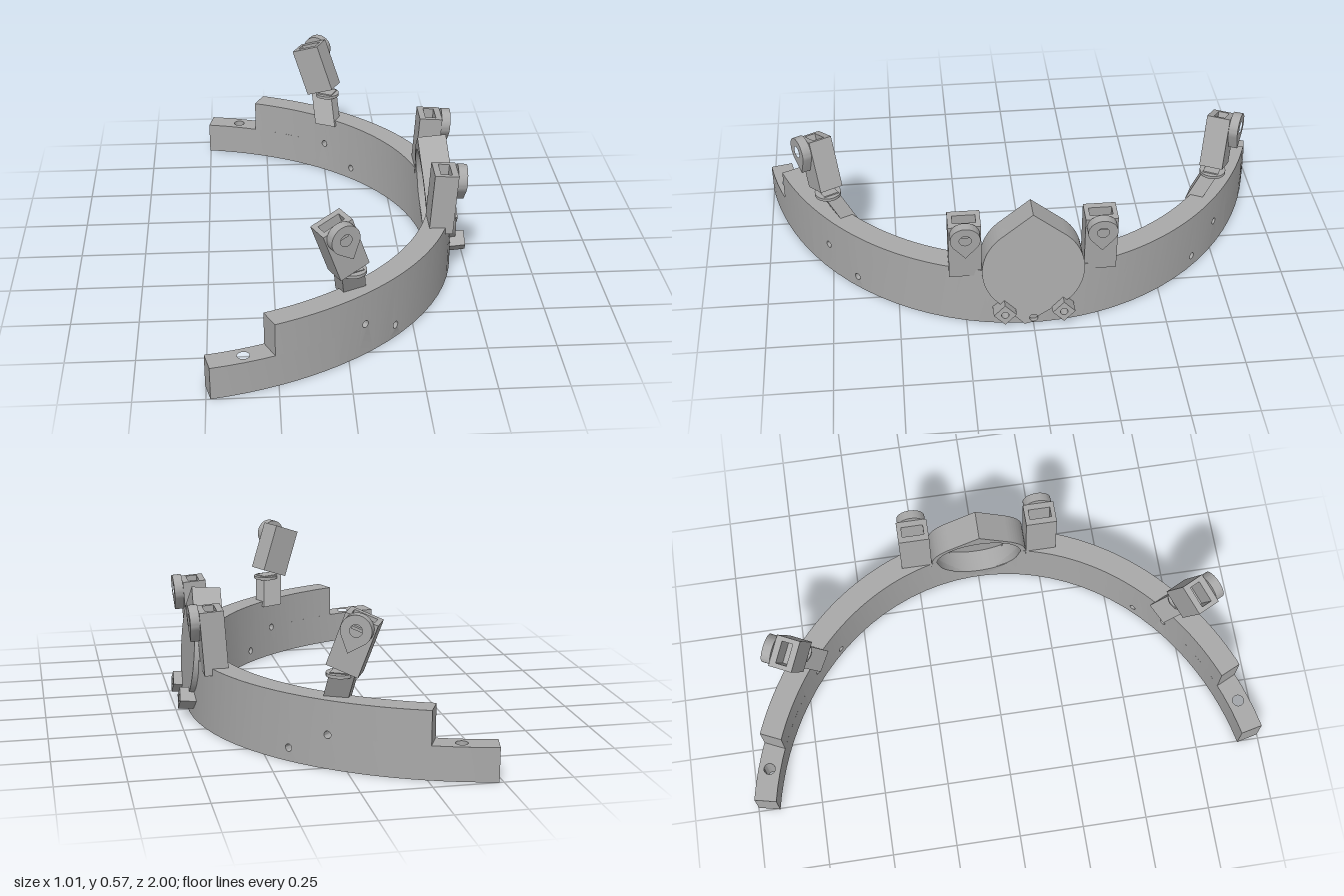
import * as THREE from 'three';
import { mergeGeometries, toCreasedNormals } from 'three/addons/utils/BufferGeometryUtils.js';

const RAD = Math.PI / 180;
const grey = new THREE.MeshStandardMaterial({ color: 0xa9a9a9 });
grey.name = 'grey plastic';

// Elliptical band: u = 0 is the inner wall, u = 1 the outer wall
const CX = -0.73;
const bandPoint = (t, u) => new THREE.Vector2(
  CX + (1.09 + 0.092 * u) * Math.cos(t),
  (0.937 + 0.085 * u) * Math.sin(t));

function add(parent, name, geometry) {
  const mesh = new THREE.Mesh(toCreasedNormals(geometry, 0.5), grey);
  mesh.name = name;
  parent.add(mesh);
  return mesh;
}

function extrude(shape, depth, z = 0) {
  const g = new THREE.ExtrudeGeometry(shape, { depth, bevelEnabled: false, curveSegments: 24 });
  return g.translate(0, 0, z);
}

function circleHole(x, y, r, ry = r) {
  return new THREE.Path().absellipse(x, y, r, ry, 0, Math.PI * 2, true);
}

function rect(w, h) {
  return new THREE.Shape([[-1, -1], [1, -1], [1, 1], [-1, 1]]
    .map(([x, y]) => new THREE.Vector2(x * w / 2, y * h / 2)));
}

// Circle with a pointed end at the given direction (+1 up, -1 down)
function teardrop(r, tip, dir) {
  const a = Math.asin(r / tip);
  const pts = [new THREE.Vector2(0, tip * dir)];
  for (let i = 0; i <= 32; i++) {
    const t = a + (2 * Math.PI - 2 * a) * i / 32 + Math.PI / 2 - a + (Math.PI / 2 - a) - (Math.PI / 2 - a);
    pts.push(new THREE.Vector2(r * Math.cos(t + Math.PI / 2 - a), r * Math.sin(t + Math.PI / 2 - a) * dir));
  }
  // keep only the points lying below the tangent line height
  const limit = r * r / tip + 1e-4;
  return new THREE.Shape(pts.filter((p, i) => i === 0 || p.y * dir <= limit));
}

// Middle of the band: bent columns with radial screw holes and a scoop for the cup
function bandMiddle() {
  const holes = [[48, 0.125], [39.8, 0.05]];
  const top = (t) => {
    const z = Math.abs(bandPoint(t, 1).y);
    return z < 0.18 ? 0.25 - Math.sqrt(0.18 * 0.18 - z * z) : 0.25;
  };
  const columns = [];
  for (let d = -54; d < 54; d += 4) {
    const pts = [new THREE.Vector2(d * RAD, 0), new THREE.Vector2((d + 4) * RAD, 0)];
    for (let i = 8; i >= 0; i--) {
      const t = (d + i / 2) * RAD;
      pts.push(new THREE.Vector2(t, top(t)));
    }
    const shape = new THREE.Shape(pts);
    for (const [deg, y] of holes) for (const s of [1, -1]) {
      if (s * deg > d && s * deg < d + 4) shape.holes.push(circleHole(s * deg * RAD, y, 0.012, 0.014));
    }
    const g = extrude(shape, 1);
    const p = g.attributes.position;
    for (let i = 0; i < p.count; i++) {
      const v = bandPoint(p.getX(i), p.getZ(i));
      p.setXYZ(i, v.x, p.getY(i), -v.y);
    }
    columns.push(g);
  }
  return mergeGeometries(columns);
}

// Flat layer of a band end, with vertical holes
function bandLayer(side, from, to, y, height, holes) {
  const pts = [];
  for (let i = 0; i <= 8; i++) pts.push(bandPoint(side * (from + (to - from) * i / 8) * RAD, 1));
  for (let i = 8; i >= 0; i--) pts.push(bandPoint(side * (from + (to - from) * i / 8) * RAD, 0));
  const shape = new THREE.Shape(pts);
  for (const deg of holes) {
    const c = bandPoint(side * deg * RAD, 0.5);
    shape.holes.push(circleHole(c.x, c.y, 0.022));
  }
  return extrude(shape, height).rotateX(-Math.PI / 2).translate(0, y, 0);
}

// Slotted holder with a pierced lug on its outer (+z) face, centred on its middle
function makeClip(name, height) {
  const clip = new THREE.Group();
  clip.name = name;
  const h = height / 2;
  const sleeve = rect(0.12, 0.09);
  sleeve.holes.push(new THREE.Path(rect(0.085, 0.042).getPoints().reverse()));
  add(clip, 'clipSleeve', extrude(sleeve, 0.11).rotateX(-Math.PI / 2).translate(0, h - 0.11, 0));
  add(clip, 'clipBase', new THREE.BoxGeometry(0.12, height - 0.11, 0.09).translate(0, -0.055, 0));
  const lug = teardrop(0.055, 0.085, -1);
  lug.holes.push(circleHole(0, 0, 0.022));
  add(clip, 'clipLug', extrude(lug, 0.035, 0.045).translate(0, h - 0.035, 0));
  add(clip, 'lugBar', new THREE.BoxGeometry(0.044, 0.01, 0.015).translate(0, h - 0.035, 0.052));
  return clip;
}

// Leaning holder on a slanted neck
function makeOuterPost(side) {
  const post = new THREE.Group();
  post.name = side > 0 ? 'leftOuterPost' : 'rightOuterPost';
  const yaw = 26 * RAD;
  post.rotation.y = side > 0 ? yaw : Math.PI - yaw;
  post.position.set(-0.03, 0, side * 0.77);
  const clip = makeClip('outerClip', 0.2);
  clip.position.y = 0.455;
  clip.rotation.z = side * 20 * RAD;
  post.add(clip);
  // neck slants down and inward to the band
  const neck = new THREE.BoxGeometry(0.09, 0.12, 0.06);
  const p = neck.attributes.position;
  for (let i = 0; i < p.count; i++) {
    const low = p.getY(i) < 0 ? 1 : 0;
    p.setX(i, p.getX(i) + side * (0.035 + 0.04 * low));
    p.setZ(i, p.getZ(i) - 0.055 * low);
  }
  add(post, 'neck', neck.translate(0, 0.29, 0));
  add(post, 'neckFlange', new THREE.CylinderGeometry(0.05, 0.05, 0.012, 24)
    .translate(side * 0.05, 0.34, 0));
  return post;
}

// Pointed cup, open to the back, with two screw blocks at its foot
function makeCup() {
  const cup = new THREE.Group();
  cup.name = 'frontCup';
  cup.rotation.order = 'YXZ';
  cup.rotation.set(-5 * RAD, Math.PI / 2, 0);
  cup.position.set(0.45, 0.25, 0);
  const outline = () => {
    const r = 0.19;
    const s = new THREE.Shape();
    s.moveTo(0.035, -0.24);
    s.absarc(0, 0, r, -45 * RAD, 54 * RAD, false);
    s.lineTo(0, 0.24);
    s.absarc(0, 0, r, 126 * RAD, 225 * RAD, false);
    s.lineTo(-0.035, -0.24);
    s.closePath();
    s.holes.push(circleHole(0, -0.215, 0.016));
    return s;
  };
  const wall = outline();
  wall.holes.push(circleHole(0, 0, 0.17));
  add(cup, 'cupWall', extrude(wall, 0.085, -0.11));
  add(cup, 'cupFace', extrude(outline(), 0.025, -0.025));
  for (const s of [1, -1]) {
    const block = rect(0.06, 0.06);
    block.holes.push(circleHole(0, 0, 0.014));
    add(cup, 'screwBlock', extrude(block, 0.065, -0.03).rotateZ(45 * RAD).translate(s * 0.11, -0.17, 0));
  }
  return cup;
}

export function createModel() {
  const model = new THREE.Group();
  model.name = 'headBand';
  add(model, 'bandMiddle', bandMiddle());
  for (const side of [1, -1]) {
    // stepped band ends
    add(model, 'bandEndLower', bandLayer(side, 54, 78, 0, 0.125, [71.5, 65]));
    add(model, 'bandEndUpper', bandLayer(side, 54, 66.6, 0.125, 0.125, []));
    model.add(makeOuterPost(side));
    // upright holders beside the cup
    const clip = makeClip(side > 0 ? 'leftInnerClip' : 'rightInnerClip', 0.24);
    clip.rotation.order = 'YXZ';
    clip.rotation.set(4 * RAD, Math.PI / 2, 0);
    clip.position.set(0.388, 0.345, side * 0.25);
    model.add(clip);
  }
  model.add(makeCup());
  return model;
}
